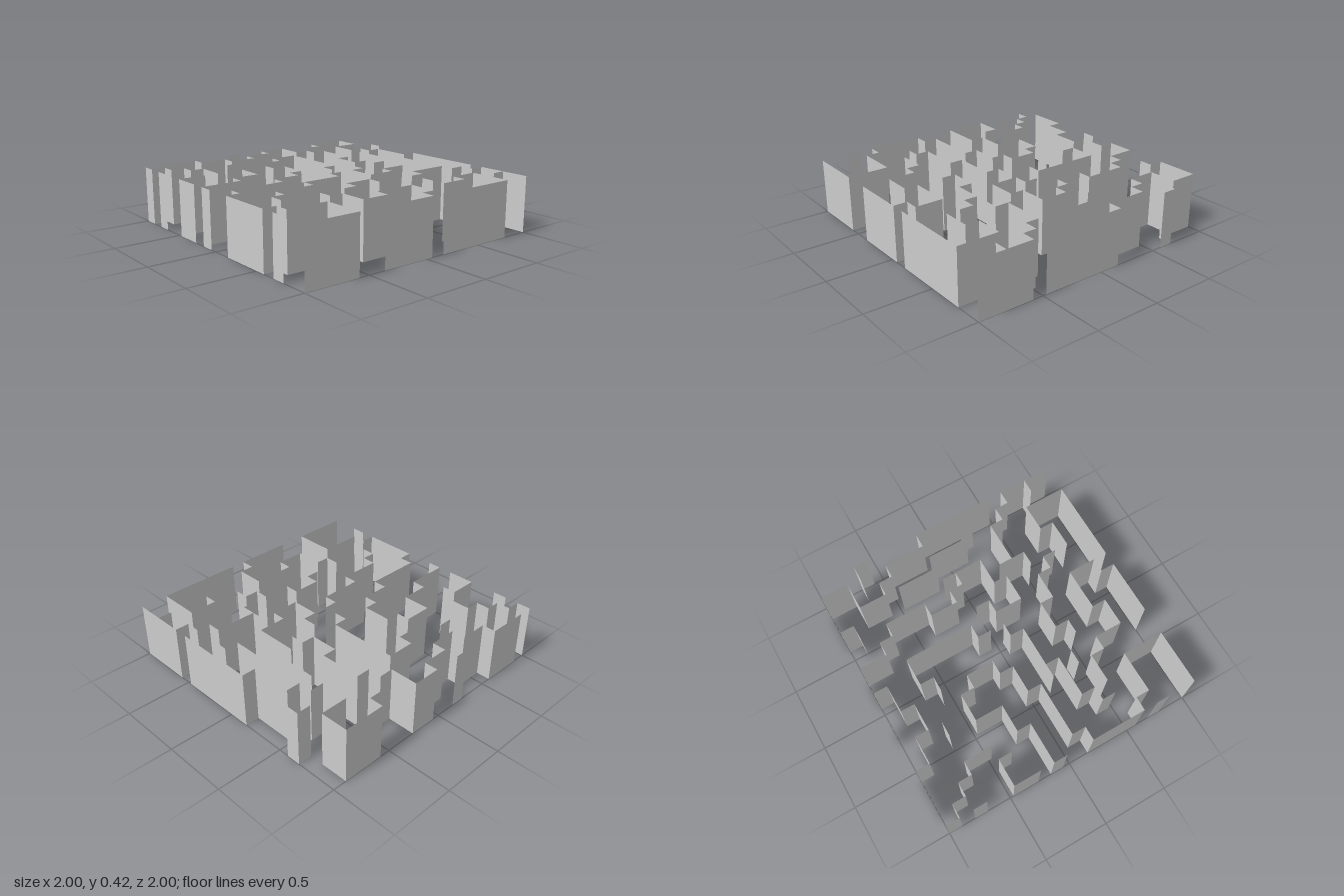
import * as THREE from 'three';
import { mergeGeometries } from 'three/addons/utils/BufferGeometryUtils.js';

const CELLS = 19;
const CELL = 2 / CELLS;
const HEIGHT = 4 * CELL;

// One thin upright panel between two grid corners
function panel(x0, z0, x1, z1) {
  const g = new THREE.PlaneGeometry(Math.hypot(x1 - x0, z1 - z0) * CELL, HEIGHT);
  if (x0 === x1) g.rotateY(Math.PI / 2);
  return g.translate((x0 + x1) / 2 * CELL - 1, HEIGHT / 2, (z0 + z1) / 2 * CELL - 1);
}

// A stepped wall: starts at a grid corner, then turns at each listed
// coordinate, alternating between the two axes
function wall(axis, x, z, stops) {
  const parts = [];
  let along = axis;
  for (const s of stops) {
    const [nx, nz] = along === 'x' ? [s, z] : [x, s];
    parts.push(panel(x, z, nx, nz));
    [x, z] = [nx, nz];
    along = along === 'x' ? 'z' : 'x';
  }
  return mergeGeometries(parts);
}

// Walls by area: [first axis, start x, start z, stops]
const backWalls = [
  ['z', 0, 0, [1, 1, 2, 2, 3, 3, 5]],
  ['x', 1, 0, [4, 1, 6, 2, 8, 1, 10, 0, 12, 2, 13, 3, 14, 6, 13, 8, 14, 9, 15]],
  ['x', 7, 0, [8]],
  ['x', 14, 1, [15, 0, 18, 2, 16, 4, 17, 5, 18, 8, 19, 14]],
  ['x', 18, 3, [19, 4]],
  ['z', 0, 2, [3]],
  ['x', 5, 3, [6]],
  ['x', 8, 4, [9, 3, 11, 8, 10, 9]],
];
const middleWalls = [
  ['z', 0, 7, [5, 2, 6]],
  ['z', 0, 9, [8, 3, 7, 5, 5, 7, 6, 8, 8, 7, 9, 5, 10, 1, 11, 0, 15, 1, 16, 4, 19, 0]],
  ['x', 5, 11, [9, 10, 10]],
  ['z', 6, 11, [12, 3, 13, 2, 14]],
  ['z', 15, 8, [11, 13, 12, 11, 10, 12, 9]],
  ['z', 16, 5, [8]],
  ['z', 17, 8, [11]],
  ['z', 18, 11, [12]],
];
const frontWalls = [
  ['z', 0, 16, [17]],
  ['x', 5, 13, [6]],
  ['x', 3, 14, [5, 15, 6, 17, 8, 16, 11, 18, 10, 19, 6]],
  ['x', 7, 14, [8, 13, 10, 14, 12, 15, 13, 16]],
  ['x', 13, 14, [14, 12]],
  ['x', 14, 13, [17, 14, 18, 15, 19, 19]],
  ['x', 11, 19, [17, 16, 15, 17, 13]],
  ['x', 18, 17, [19]],
];

export function createModel() {
  const model = new THREE.Group();
  model.name = 'maze';
  const material = new THREE.MeshStandardMaterial({ color: 0xcccccc, side: THREE.DoubleSide });

  for (const [name, walls] of Object.entries({ backWalls, middleWalls, frontWalls })) {
    const area = new THREE.Group();
    area.name = name;
    walls.forEach((w, i) => {
      const mesh = new THREE.Mesh(wall(...w), material);
      mesh.name = `mazeWall${i + 1}`;
      area.add(mesh);
    });
    model.add(area);
  }
  return model;
}
